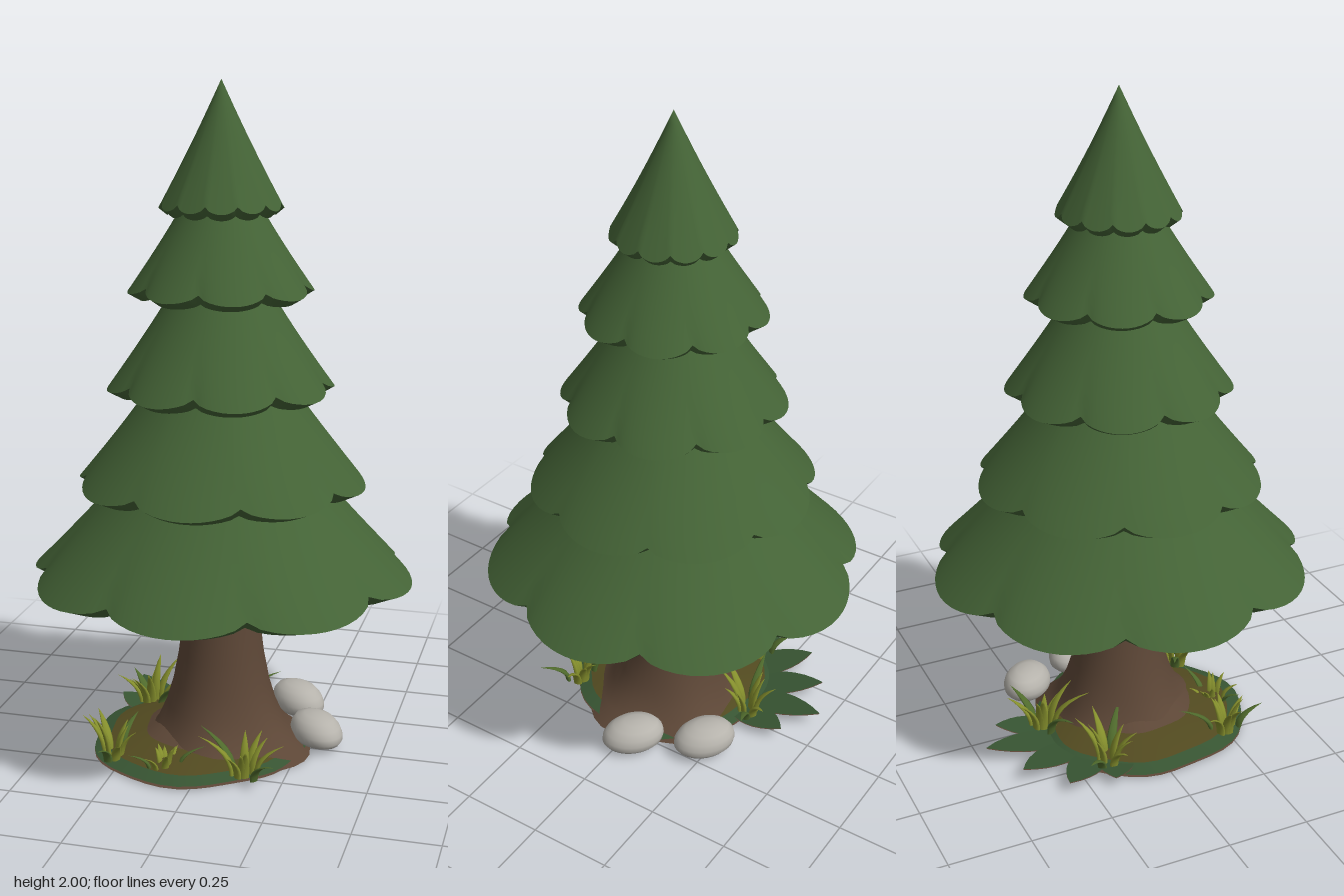
import * as THREE from 'three';
import { mergeVertices, mergeGeometries } from 'three/addons/utils/BufferGeometryUtils.js';

const paint = (name, color, side = THREE.FrontSide) => {
  const m = new THREE.MeshStandardMaterial({ color, side });
  m.name = name;
  return m;
};

// Turned shape whose points are moved by rule(vector, angle); angle 0 faces +z
function turned(profile, rule, segments = 96) {
  const geo = new THREE.LatheGeometry(profile.map(([r, y]) => new THREE.Vector2(r, y)), segments);
  const pos = geo.attributes.position;
  const v = new THREE.Vector3();
  for (let i = 0; i < pos.count; i++) {
    v.fromBufferAttribute(pos, i);
    rule(v, Math.atan2(v.x, v.z));
    pos.setXYZ(i, v.x, v.y, v.z);
  }
  geo.deleteAttribute('uv');
  geo.deleteAttribute('normal');
  const smooth = mergeVertices(geo, 1e-5);
  smooth.computeVertexNormals();
  return smooth;
}

// Plump, curved blade leaning towards +z
function blade(length, width, lean) {
  const geo = new THREE.ConeGeometry(width, length, 8, 6, true);
  geo.translate(0, length / 2, 0);
  const pos = geo.attributes.position;
  for (let i = 0; i < pos.count; i++) {
    const t = pos.getY(i) / length;
    const fat = 0.8 + 1.3 * t;
    pos.setXYZ(i, pos.getX(i) * fat, pos.getY(i) * (1 - 0.3 * lean * t),
      pos.getZ(i) * fat * 0.55 + lean * length * t * t);
  }
  geo.deleteAttribute('uv');
  geo.deleteAttribute('normal');
  const smooth = mergeVertices(geo, 1e-5);
  smooth.computeVertexNormals();
  return smooth;
}

export function createModel() {
  const model = new THREE.Group();
  model.name = 'pineTree';
  const leafGreen = paint('leaf green', 0x446336);
  const innerBrown = paint('inner branch brown', 0x4e3f1b);
  const bark = paint('bark brown', 0x5c4636, THREE.DoubleSide);
  const moss = paint('moss olive', 0x524a20);
  const turf = paint('turf green', 0x375432);
  const grassLight = paint('grass olive', 0x848e2c, THREE.DoubleSide);
  const grassDark = paint('grass green', 0x4f6a2c, THREE.DoubleSide);
  const stone = paint('stone grey', 0xb6b3ac, THREE.DoubleSide);

  const add = (parent, name, geo, mat) => {
    const mesh = new THREE.Mesh(geo, mat);
    mesh.name = name;
    parent.add(mesh);
    return mesh;
  };

  // Foliage tiers: rim radius/height, top radius/height, scallops and underside
  const tiers = [
    { r: 0.575, y: 0.545, topR: 0.16, topY: 1.02, lobes: 8, phase: 0, notch: 0.09, lift: 0.035, lip: 0.055, flare: 0.015, brown: 0.34 },
    { r: 0.43, y: 0.83, topR: 0.1, topY: 1.29, lobes: 8, phase: 0, notch: 0.07, lift: 0.032, lip: 0.045, flare: 0.015, brown: 0.8 },
    { r: 0.335, y: 1.115, topR: 0.06, topY: 1.55, lobes: 8, phase: Math.PI / 8, notch: 0.1, lift: 0.03, lip: 0.04, flare: 0.012, brown: 0.8 },
    { r: 0.272, y: 1.4, topR: 0.04, topY: 1.78, lobes: 8, phase: Math.PI / 8, notch: 0.1, lift: 0.026, lip: 0.035, flare: 0.01, brown: 0.8 },
    { r: 0.18, y: 1.64, topR: 0, topY: 2, lobes: 12, phase: Math.PI / 12, notch: 0.035, lift: 0.02, lip: 0.025, flare: 0.004, brown: 0.8 },
  ];
  tiers.forEach((t, i) => {
    const group = new THREE.Group();
    group.name = `foliageTier${i + 1}`;
    model.add(group);
    // Scallops fade out away from the rim
    const scallop = (v, a) => {
      const rad = Math.hypot(v.x, v.z);
      const w = Math.pow(Math.min(1, rad / t.r), 3);
      const dip = 1 - Math.pow(Math.abs(Math.cos((t.lobes / 2) * (a - t.phase))), 0.65);
      const k = 1 - t.notch * dip * w;
      v.set(v.x * k, v.y + t.lift * dip * w, v.z * k);
    };
    const outer = [];
    for (let s = 0; s <= 10; s++) {
      const f = s / 10;
      outer.push([
        t.r + (t.topR - t.r) * f - t.flare * Math.sin(Math.PI * f),
        t.y + (t.topY - t.y) * f,
      ]);
    }
    add(group, 'branches', turned(outer, scallop), leafGreen);
    const lipR = t.r - t.lip, lipY = t.y - 0.02;
    add(group, 'rim', turned([[lipR, lipY], [t.r, t.y]], scallop), leafGreen);
    const rise = t.r * 0.24;
    const under = (f) => [lipR * f, lipY + rise * (1 - f * f)];
    add(group, 'underside', turned([t.brown, (t.brown + 1) / 2, 0.95, 1].map(under), scallop), leafGreen);
    add(group, 'innerBranches', turned([0, t.brown / 2, t.brown].map(under), scallop), innerBrown);
  });

  // Trunk with flared roots
  const trunk = [[0.265, 0], [0.225, 0.035], [0.193, 0.075], [0.168, 0.13], [0.147, 0.2],
    [0.13, 0.29], [0.117, 0.4], [0.105, 0.54], [0.1, 0.75]];
  add(model, 'trunk', turned(trunk, (v, a) => {
    const w = Math.pow(Math.max(0, 1 - v.y / 0.2), 2);
    const k = 1 + w * (0.05 * Math.cos(5 * a) + 0.08 * Math.cos(a - Math.PI / 4));
    v.x *= k;
    v.z *= k;
  }, 40), bark);

  // Ground patch, uneven and hollow beneath
  const ground = new THREE.Group();
  ground.name = 'groundPatch';
  model.add(ground);
  const uneven = (v, a) => {
    const k = 1 + 0.03 * Math.cos(3 * a + 1) + 0.02 * Math.cos(7 * a) + 0.12 * Math.cos(a + Math.PI / 4);
    v.set(v.x * k - 0.035, v.y, v.z * k + 0.01);
  };
  add(ground, 'hollow', turned([[0, 0.13], [0.1, 0.1], [0.17, 0.055], [0.23, 0.022], [0.325, 0.004]], uneven, 48), bark);
  add(ground, 'turf', turned([[0.325, 0.012], [0.285, 0.026]], uneven, 48), turf);
  add(ground, 'moss', turned([[0.285, 0.026], [0.2, 0.048], [0.1, 0.06]], uneven, 48), moss);

  // Ragged flat leaves along the back edge, green above and brown below: x, z, heading, length
  [[-0.09, -0.26, 3.18, 0.23], [-0.16, -0.24, 3.55, 0.2], [-0.23, -0.19, 3.9, 0.18],
    [-0.02, -0.26, 2.9, 0.16], [-0.26, -0.13, 4.3, 0.13]].forEach(([x, z, heading, len]) => {
    const shape = new THREE.Shape();
    shape.moveTo(-0.05, 0);
    shape.quadraticCurveTo(-0.07, len * 0.55, 0, len);
    shape.quadraticCurveTo(0.07, len * 0.55, 0.05, 0);
    const tilt = Math.PI / 2 - 0.15;
    const leaf = (flip) => new THREE.ShapeGeometry(shape, 6).rotateX(flip ? -tilt : tilt)
      .rotateY(heading + (flip ? Math.PI : 0)).translate(x, flip ? 0.018 : 0.015, z);
    add(ground, 'flatLeafTop', leaf(true), turf);
    add(ground, 'flatLeafUnderside', leaf(false), bark);
  });

  // Grass clumps: x, z, size
  [[0.14, 0.27, 1], [-0.1, 0.28, 0.6], [-0.27, 0.24, 1], [-0.27, -0.16, 1.1], [-0.02, -0.27, 1.1]]
    .forEach(([x, z, size], c) => {
      const light = [], dark = [];
      for (let i = 0; i < 10; i++) {
        const len = (0.09 + 0.055 * ((i * 7 + c * 3) % 5) / 4) * size;
        const geo = blade(len, 0.017 * Math.sqrt(size), 0.3 + 0.2 * (i % 4));
        geo.translate(0, 0, 0.015 + 0.01 * (i % 4)).rotateY(i * 2.4 + c);
        (i % 4 === 3 ? dark : light).push(geo);
      }
      const clump = new THREE.Group();
      clump.name = 'grassClump';
      clump.position.set(x, 0.02, z);
      add(clump, 'lightBlades', mergeGeometries(light), grassLight);
      add(clump, 'darkBlades', mergeGeometries(dark), grassDark);
      model.add(clump);
    });

  // Rocks, domed with a hollow base: x, y, z, height, turn
  const dome = [[0, 0.3], [0.6, 0.22], [0.86, 0], [0.98, 0.16], [1, 0.38], [0.92, 0.62], [0.72, 0.85], [0.4, 0.97], [0, 1]];
  [[0.295, 0.018, -0.035, 0.08, -0.8], [0.195, 0.024, -0.235, 0.082, -0.7]]
    .forEach(([x, y, z, height, turn]) => {
      const geo = turned(dome, (v) => v.set(v.x * 0.096 - 0.015 * v.y, v.y * height, v.z * 0.072), 32);
      const rock = add(model, 'rock', geo, stone);
      rock.position.set(x, y, z);
      rock.rotation.y = turn;
    });

  return model;
}
